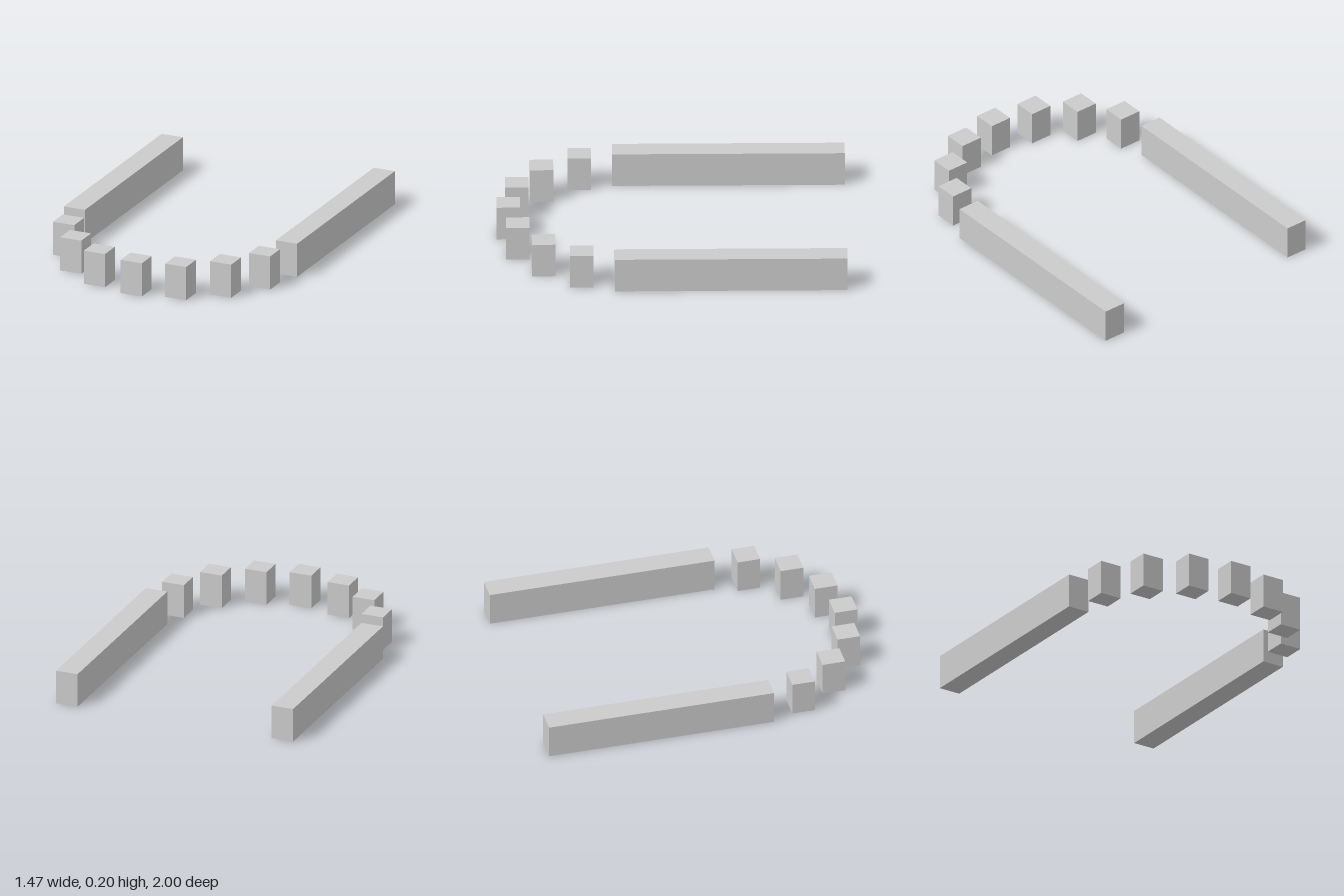
import * as THREE from 'three';

export function createModel() {
  const model = new THREE.Group();
  const material = new THREE.MeshStandardMaterial({ color: 0xcccccc, flatShading: true });

  const size = 0.134;    // plan width of every block
  const height = 0.202;
  const radius = 0.669;  // arc through the block centres
  const arcZ = 0.264;    // centre of the arc

  function addBlock(name, x, z, depth) {
    const mesh = new THREE.Mesh(new THREE.BoxGeometry(size, height, depth), material);
    mesh.name = name;
    mesh.position.set(x, height / 2, z);
    model.add(mesh);
  }

  // Two long straight walls running to the back
  const front = arcZ + size / 2;
  const length = front + 1;
  addBlock('leftWall', radius, front - length / 2, length);
  addBlock('rightWall', -radius, front - length / 2, length);

  // Seven upright blocks in a half circle, all kept square to the axes
  for (let i = -3; i <= 3; i++) {
    const angle = (i * Math.PI) / 8;
    addBlock(`arcBlock${i + 4}`, radius * Math.sin(angle), arcZ + radius * Math.cos(angle), size);
  }

  return model;
}
